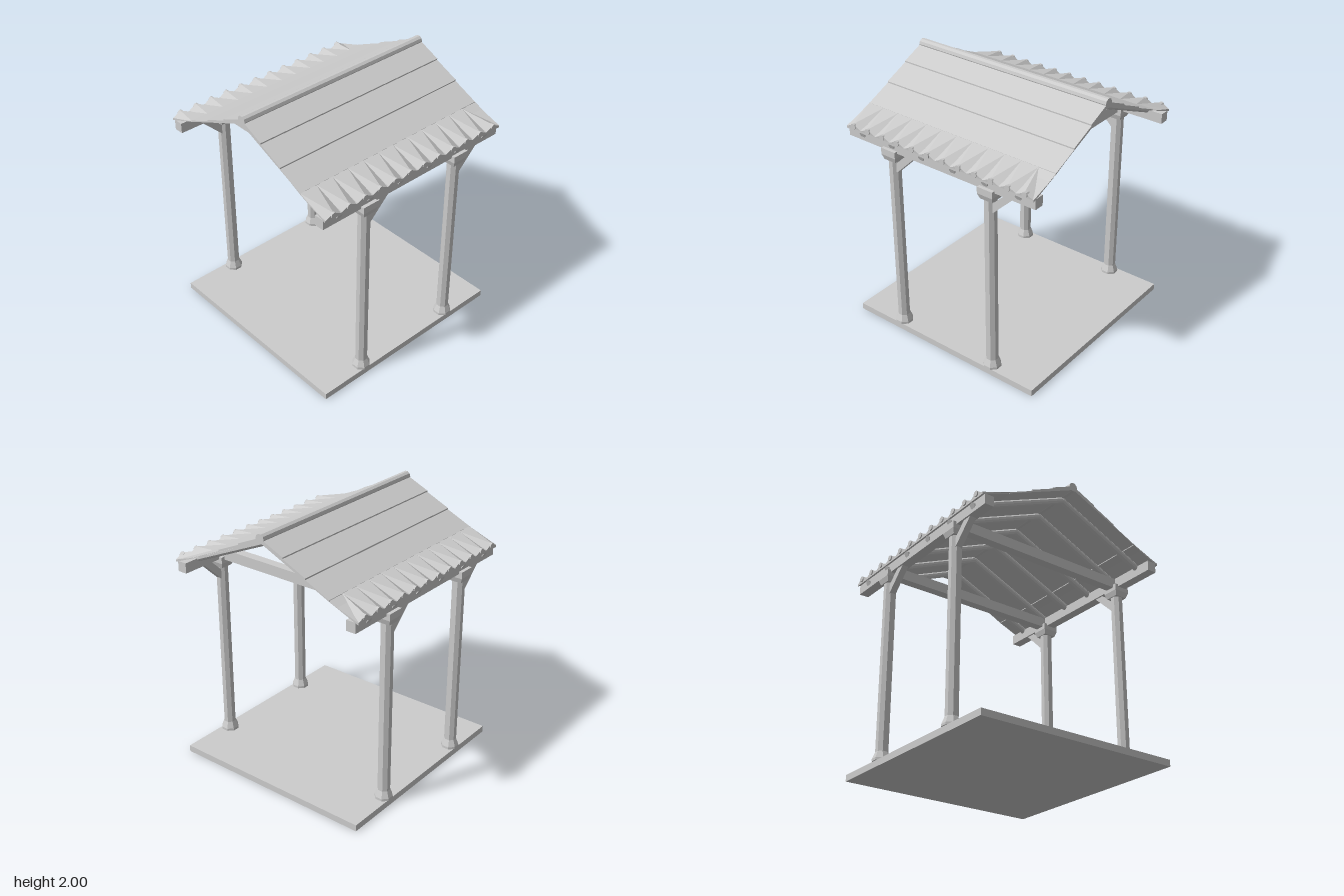
import * as THREE from 'three';

export function createModel() {
  const model = new THREE.Group();
  const stone = new THREE.MeshStandardMaterial({ color: 0xcccccc, flatShading: true, side: THREE.DoubleSide });
  stone.name = 'plain grey';

  const HALF = 0.825, COL_X = 0.43, COL_Z = 0.755, CELLS = 12;

  function add(name, geometry, x = 0, y = 0, z = 0, parent = model) {
    const mesh = new THREE.Mesh(geometry, stone);
    mesh.name = name;
    mesh.position.set(x, y, z);
    parent.add(mesh);
    return mesh;
  }
  const box = (name, w, h, d, x, y, z, parent) => add(name, new THREE.BoxGeometry(w, h, d), x, y, z, parent);

  // Straight bar between two points
  function bar(name, geometry, a, b) {
    const mesh = add(name, geometry);
    mesh.position.copy(a).add(b).multiplyScalar(0.5);
    mesh.quaternion.setFromUnitVectors(new THREE.Vector3(0, 1, 0), b.clone().sub(a).normalize());
    return mesh;
  }

  // Floor slab
  box('floor', HALF * 2, 0.05, 1.62, 0, 0.025, 0);

  // Octagonal columns with flared feet and square tapered capitals
  const cos8 = Math.cos(Math.PI / 8);
  const columnProfile = [[0, 0.05], [0.062, 0.05], [0.062, 0.068], [0.046, 0.112], [0.043, 0.12], [0.043, 1.46], [0, 1.46]]
    .map(([r, y]) => new THREE.Vector2(r / cos8, y));
  const columnGeometry = new THREE.LatheGeometry(columnProfile, 8, Math.PI / 8);
  const r2 = Math.SQRT2;
  const capGeometry = new THREE.CylinderGeometry(0.064 * r2, 0.05 * r2, 0.04, 4).rotateY(Math.PI / 4);
  for (const sz of [1, -1]) {
    for (const sx of [1, -1]) {
      const column = new THREE.Group();
      column.name = 'column';
      column.position.set(sx * COL_X, 0, sz * COL_Z);
      model.add(column);
      add('shaft', columnGeometry, 0, 0, 0, column);
      add('capitalTaper', capGeometry, 0, 1.47, 0, column);
      box('capitalBlock', 0.128, 0.05, 0.128, 0, 1.515, 0, column);

      // One diagonal brace per column, all leaning the same way along a row
      const x = sx * COL_X;
      const brace = new THREE.Shape([[0, 1.32], [0.21, 1.525], [0.135, 1.525], [0, 1.395]]
        .map(([dx, y]) => new THREE.Vector2(x + sz * dx, y)));
      add('brace', new THREE.ExtrudeGeometry(brace, { depth: 0.05, bevelEnabled: false }), 0, 0, sz * COL_Z - 0.025);
    }
    box('eaveBeam', HALF * 2, 0.078, 0.075, 0, 1.561, sz * COL_Z);
  }

  // Tie beams from front to back
  for (const sx of [1, -1]) box('tieBeam', 0.07, 0.08, 1.45, sx * COL_X, 1.557, 0);

  // Round rafters
  for (let i = 0; i < 6; i++) {
    const x = -0.69 + i * 0.276;
    for (const sz of [1, -1]) {
      const a = new THREE.Vector3(x, 1.917, 0), b = new THREE.Vector3(x, 1.565, sz * 0.8);
      bar('rafter', new THREE.CylinderGeometry(0.025, 0.025, a.distanceTo(b), 10), a, b);
    }
  }

  // Stepped roof: one cross-section [z, y] extruded along x
  const upper = [[0.035, 1.956], [0.195, 1.885], [0.195, 1.875], [0.385, 1.79], [0.385, 1.78],
    [0.58, 1.693], [0.58, 1.683], [0.815, 1.605], [0.815, 1.588]];
  const section = [[0, 1.972], ...upper, [0, 1.94], ...upper.slice().reverse().map(([z, y]) => [-z, y])];
  const roofGeometry = new THREE.ExtrudeGeometry(
    new THREE.Shape(section.map(([z, y]) => new THREE.Vector2(z, y))),
    { depth: HALF * 2, bevelEnabled: false });
  roofGeometry.translate(0, 0, -HALF).rotateY(-Math.PI / 2);
  add('roof', roofGeometry);

  // Ridge cap
  add('ridgeCap', new THREE.CylinderGeometry(0.036, 0.036, HALF * 2, 10).rotateZ(Math.PI / 2), 0, 1.964, 0);

  // Fluted eave tiles with round end caps
  const step = (HALF * 2) / CELLS;
  for (const sz of [1, -1]) {
    const positions = [];
    const tri = (...pts) => {
      if (sz < 0) pts.reverse();
      for (const [x, y, z] of pts) positions.push(x, y, sz * z);
    };
    for (let i = 0; i < CELLS; i++) {
      const x0 = -HALF + i * step, x1 = x0 + step, xm = x0 + step / 2;
      const top0 = [x0, 1.692, 0.58], top1 = [x1, 1.692, 0.58];
      const low0 = [x0, 1.602, 0.815], low1 = [x1, 1.602, 0.815], crest = [xm, 1.638, 0.818];
      tri(top0, low0, crest);
      if (i < CELLS - 1) {
        tri(top0, crest, top1);
        tri(top1, crest, low1);
      } else tri(top0, crest, low1);
      tri(crest, low0, low1);
      add('tileEnd', new THREE.CylinderGeometry(0.022, 0.022, 0.035, 10).rotateX(Math.PI / 2), xm, 1.62, sz * 0.806);
    }
    const tiles = new THREE.BufferGeometry();
    tiles.setAttribute('position', new THREE.Float32BufferAttribute(positions, 3));
    tiles.computeVertexNormals();
    add('eaveTiles', tiles);
  }

  return model;
}
